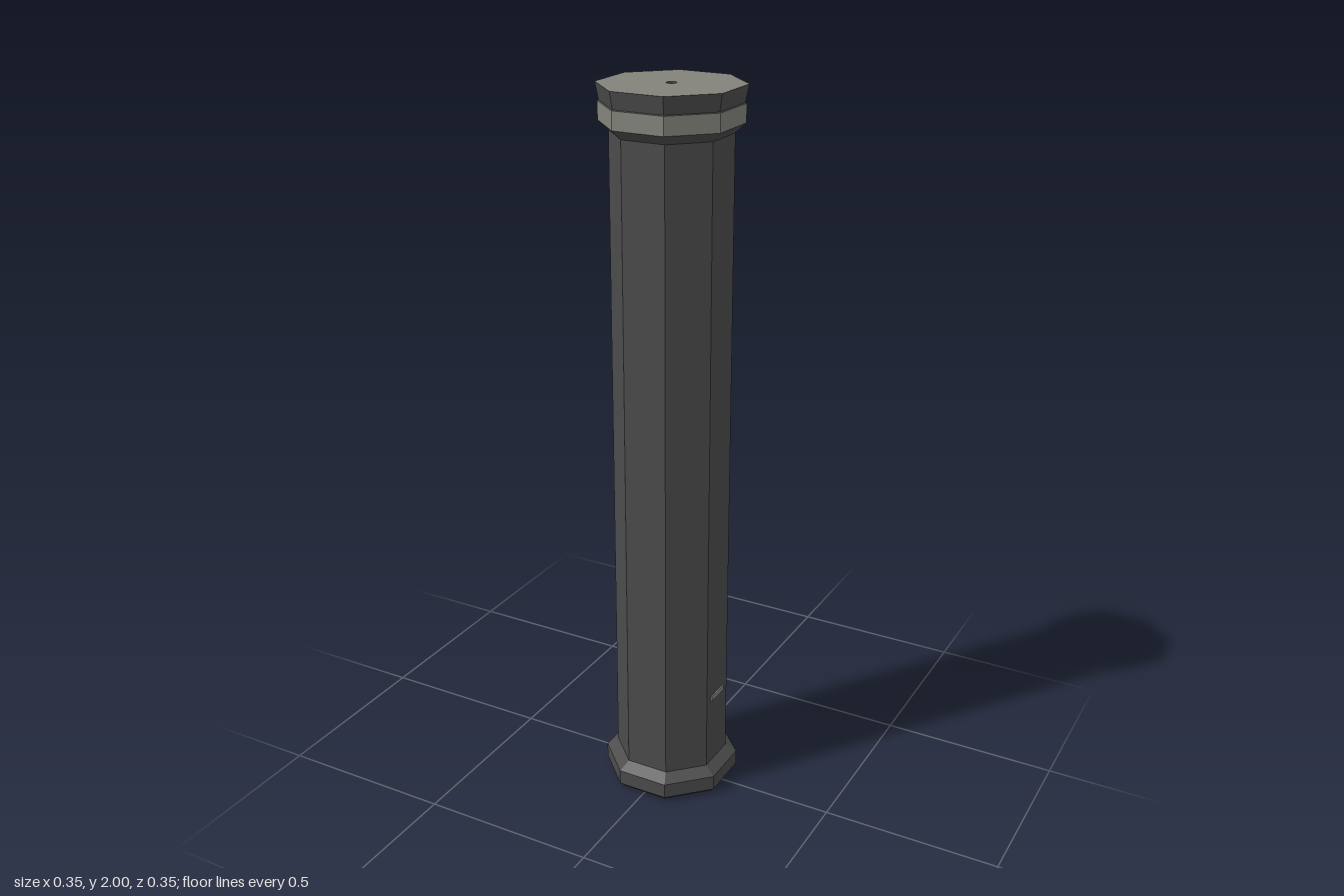
import * as THREE from 'three';

const material = (name, color) => Object.assign(new THREE.MeshStandardMaterial({ color }), { name });

export function createModel() {
  const group = new THREE.Group();
  group.name = 'octagonalColumn';
  const charcoal = material('charcoal', 0x4b4b4b);
  const stone = material('stone grey', 0x83837b);
  const dark = material('dark underside', 0x182020);

  const add = (name, geometry, mat) => {
    const mesh = new THREE.Mesh(geometry, mat);
    mesh.name = name;
    group.add(mesh);
    return mesh;
  };

  // Eight-sided ring from [distance to flat side, height] pairs, faceted
  const octagon = (name, profile, mat) => {
    const points = profile.map(([a, y]) => new THREE.Vector2(a / Math.cos(Math.PI / 8), y));
    const geometry = new THREE.LatheGeometry(points, 8, Math.PI / 8).toNonIndexed();
    geometry.computeVertexNormals();
    return add(name, geometry, mat);
  };

  const bore = 0.013;
  const shaft = 0.147;
  const rim = 0.177;

  // Foot with chamfered edges
  octagon('underside', [[bore, 0], [0.162, 0]], dark);
  octagon('foot', [[0.162, 0], [rim, 0.015], [rim, 0.058], [shaft, 0.08]], charcoal);

  octagon('shaft', [[shaft, 0.08], [shaft, 1.88]], charcoal);

  // Capital: flare, pale band, tapered rim and top plate
  octagon('capitalFlare', [[shaft, 1.88], [0.172, 1.905]], charcoal);
  octagon('capitalBand', [[0.172, 1.905], [0.172, 1.953]], stone);
  octagon('capitalRim', [[0.172, 1.953], [0.169, 1.955], [rim, 2]], charcoal);
  octagon('topPlate', [[rim, 2], [bore, 2]], stone);

  // Narrow hole running the whole height
  octagon('bore', [[bore, 2], [bore, 0]], charcoal);

  // Small raised bar on the side
  add('sideBar', new THREE.BoxGeometry(0.009, 0.014, 0.07), stone).position.set(0.1465, 0.29, 0);

  return group;
}
